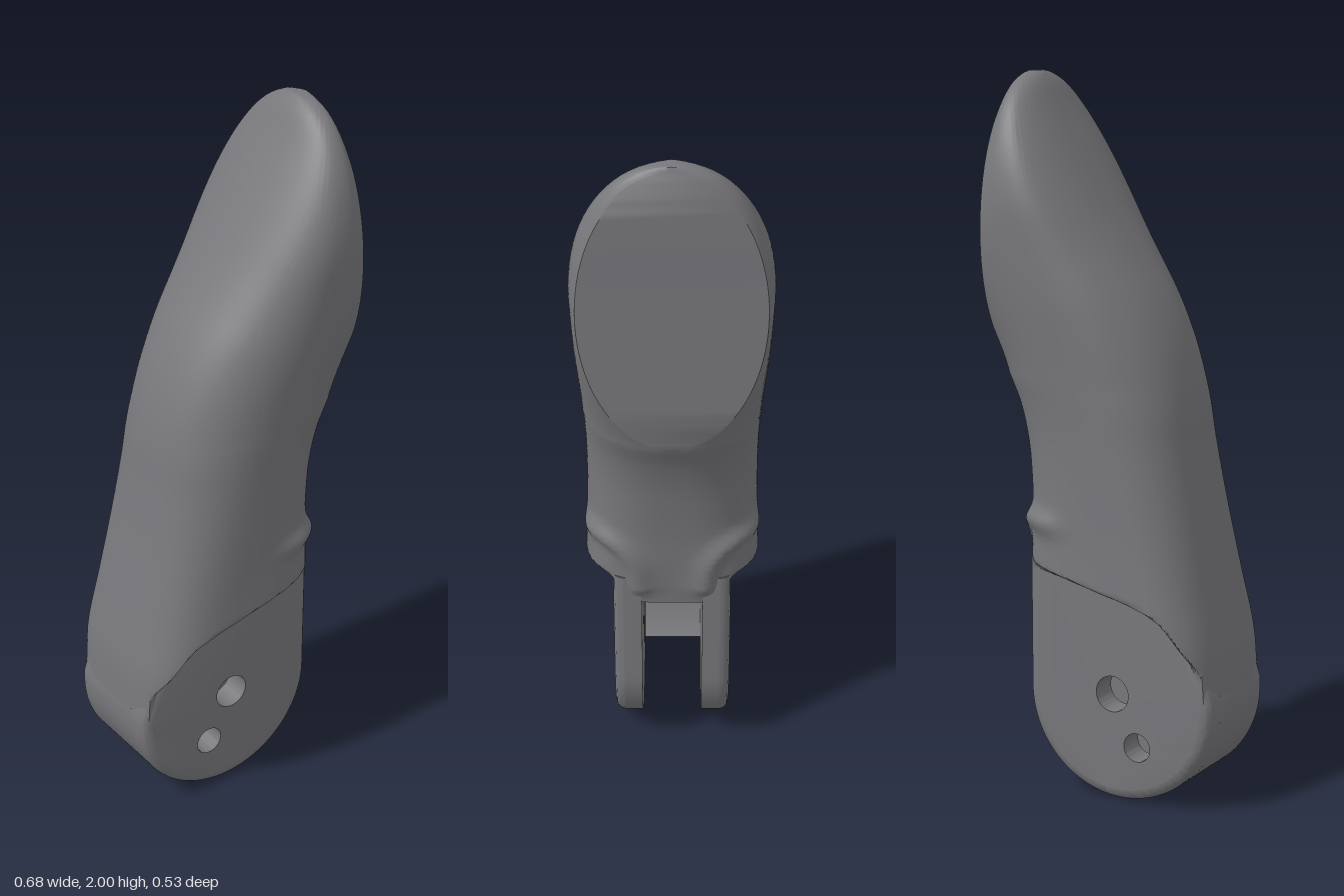
import * as THREE from 'three';
import { toCreasedNormals } from 'three/addons/utils/BufferGeometryUtils.js';

const material = new THREE.MeshStandardMaterial({ color: 0x78787c, side: THREE.DoubleSide });

// Smooth interpolation through [key, value] points
function curve(points, k) {
  const n = points.length - 1;
  if (k <= points[0][0]) return points[0][1];
  if (k >= points[n][0]) return points[n][1];
  let i = 0;
  while (k > points[i + 1][0]) i++;
  const slope = (j) => {
    const a = points[Math.max(j - 1, 0)], b = points[Math.min(j + 1, n)];
    return (b[1] - a[1]) / (b[0] - a[0]);
  };
  const h = points[i + 1][0] - points[i][0], t = (k - points[i][0]) / h;
  const t2 = t * t, t3 = t2 * t;
  return (2 * t3 - 3 * t2 + 1) * points[i][1] + (t3 - 2 * t2 + t) * h * slope(i)
    + (3 * t2 - 2 * t3) * points[i + 1][1] + (t3 - t2) * h * slope(i + 1);
}

// Profiles of the body against height
const BACK = [[0.3, -0.34], [0.45, -0.328], [0.6, -0.295], [0.8, -0.255], [1, -0.222], [1.1, -0.208], [1.2, -0.185],
  [1.3, -0.15], [1.4, -0.1], [1.5, -0.035], [1.6, 0.03], [1.8, 0.15], [1.9, 0.21], [1.97, 0.25], [2, 0.275]];
const FRONT = [[0.57, 0.233], [0.7, 0.242], [0.8, 0.247], [0.9, 0.257], [1, 0.272], [1.1, 0.3], [1.18, 0.337],
  [1.19, 0.337], [1.6, 0.329], [1.97, 0.322], [2, 0.314]];
const WIDTH = [[0.3, 0.25], [0.65, 0.249], [0.8, 0.241], [1, 0.238], [1.2, 0.245], [1.4, 0.257], [1.6, 0.263]];
const POWER = [[0.35, 0.5], [0.6, 0.58], [1, 0.78], [1.3, 0.85]];
const MIDDLE = [[0.6, 0.5], [1.1, 0.5], [1.5, 0.62], [2, 0.62]];
// Height of the ledge above the cheeks, against x
const LEDGE = [[-0.34, 0.36], [-0.29, 0.43], [-0.2, 0.54], [0, 0.605], [0.16, 0.64], [0.25, 0.655]];
// Soft fold arching over each cheek, seen from the +x side
const FOLD = new THREE.CatmullRomCurve3([[0.26, 0.765], [0.2, 0.785], [0.14, 0.765], [0.1, 0.71], [0.085, 0.63]]
  .map(([z, y]) => new THREE.Vector3(0, y, z))).getPoints(30);

const oval = (y, c, r) => Math.sqrt(Math.max(0, 1 - ((y - c) / r) ** 2));

// Point on the body: row height y0 and f from 0 to 1 around the section
function bodyPoint(y0, f) {
  const tilt = 0.45 * (1 - THREE.MathUtils.smoothstep(y0, 0.57, 1));
  const back = curve(BACK, y0 - tilt * 0.56), front = curve(FRONT, y0);
  const w = y0 > 1.6 ? 0.263 * oval(y0, 1.6, 0.4) ** 0.92 : curve(WIDTH, y0);
  const face = 0.243 * oval(y0, 1.583, 0.403);
  const p = curve(POWER, y0 - tilt * 0.25);
  const start = w > 0.001 ? Math.asin(Math.min(0.96, face / w) ** (1 / p)) : 0;
  const a = start + f * (2 * Math.PI - 2 * start);
  const c = Math.cos(a), s = Math.sin(a);
  const xm = back + (front - back) * curve(MIDDLE, y0);
  const x = c > 0 ? xm + (front - xm) * (c / Math.cos(start)) ** p : xm - (xm - back) * (-c) ** p;
  const y = y0 - tilt * (0.235 - x);
  let z = w * Math.abs(s) ** p;
  // Step in to the cheeks below the ledge
  const ledge = curve(LEDGE, x);
  const out = THREE.MathUtils.smoothstep(y, ledge - 0.02, ledge + 0.022);
  z = Math.min(z, 0.162 + (Math.max(z, 0.162) - 0.162) * out);
  // Swell along the fold
  const d = Math.min(...FOLD.map((q) => Math.hypot(q.y - y, q.z - z)));
  const swell = 1 + 0.075 * Math.exp(-((d / 0.03) ** 2)) * THREE.MathUtils.smoothstep(x, 0.04, 0.16);
  return new THREE.Vector3(x * swell, y, z * swell * Math.sign(s));
}

// Lofted body; the seam of each ring closes as the flat oval face
function makeBody() {
  const rows = [], seg = 144;
  for (let i = 0; i < 48; i++) rows.push(0.57 + i * 0.007);
  for (let i = 0; i < 10; i++) rows.push(0.91 + i * 0.027);
  for (let i = 0; i <= 40; i++) rows.push(1.591 - 0.409 * Math.cos((i / 40) * Math.PI));
  const pos = [], index = [], n = seg + 1;
  for (const y of rows) for (let j = 0; j < n; j++) pos.push(...bodyPoint(y, j / seg).toArray());
  for (let i = 0; i < rows.length - 1; i++) {
    for (let j = 0; j < n; j++) {
      const a = i * n + j, b = i * n + (j + 1) % n;
      index.push(a, a + n, b, b, a + n, b + n);
    }
  }
  // Sloping roof of the slot
  const centre = pos.length / 3;
  pos.push(-0.05, 0.57 - 0.45 * 0.285, 0);
  for (let j = 0; j < n; j++) index.push(centre, j, (j + 1) % n);
  const g = new THREE.BufferGeometry();
  g.setAttribute('position', new THREE.Float32BufferAttribute(pos, 3));
  g.setIndex(index);
  return toCreasedNormals(g, 0.7);
}

const CX = -0.052, CY = 0.288, R = 0.288;

// Rounded cheek plate with two pin holes; its outer rim is eased
function makeCheek(side) {
  const shape = new THREE.Shape();
  shape.moveTo(-0.3, 0.44);
  shape.lineTo(CX - R, CY + 0.03);
  shape.absarc(CX, CY, R, Math.PI, 2 * Math.PI, false);
  shape.lineTo(0.236, 0.66);
  shape.lineTo(0.16, 0.64);
  shape.lineTo(0, 0.605);
  shape.lineTo(-0.2, 0.54);
  for (const [x, y, r] of [[-0.037, 0.305, 0.051], [-0.115, 0.162, 0.041]]) {
    shape.holes.push(new THREE.Path().absarc(x, y, r, 0, Math.PI * 2, true));
  }
  const depth = 0.08, ease = 0.03;
  const g = new THREE.ExtrudeGeometry(shape, { depth, steps: 16, bevelEnabled: false, curveSegments: 40 });
  const p = g.attributes.position;
  for (let i = 0; i < p.count; i++) {
    const z = side > 0 ? p.getZ(i) : depth - p.getZ(i);
    const dx = p.getX(i) - CX, dy = Math.min(0, p.getY(i) - CY), d = Math.hypot(dx, dy);
    const t = Math.min(1, Math.max(0, (z - depth + ease) / ease));
    if (d > 0.22) {
      const k = ease * (1 - Math.sqrt(1 - t * t)) / d;
      p.setXY(i, p.getX(i) - dx * k, p.getY(i) - dy * k);
    }
  }
  g.translate(0, 0, side > 0 ? 0.085 : -0.165);
  return toCreasedNormals(g, 0.6);
}

// Curved wall closing the back of the slot
function makeWeb() {
  const shape = new THREE.Shape();
  shape.moveTo(-0.31, 0.42);
  shape.lineTo(CX - R, CY + 0.03);
  shape.absarc(CX, CY, R, Math.PI, Math.PI * 1.31, false);
  shape.lineTo(-0.18, 0.075);
  shape.quadraticCurveTo(-0.26, 0.19, -0.255, 0.34);
  shape.lineTo(-0.25, 0.42);
  const g = new THREE.ExtrudeGeometry(shape, { depth: 0.19, bevelEnabled: false, curveSegments: 20 });
  g.translate(0, 0, -0.095);
  return toCreasedNormals(g, 0.6);
}

export function createModel() {
  const group = new THREE.Group();
  const add = (name, geometry) => {
    const mesh = new THREE.Mesh(geometry, material);
    mesh.name = name;
    group.add(mesh);
  };
  add('fingertipBody', makeBody());
  add('slotBackWall', makeWeb());
  add('frontCheek', makeCheek(1));
  add('backCheek', makeCheek(-1));
  return group;
}
